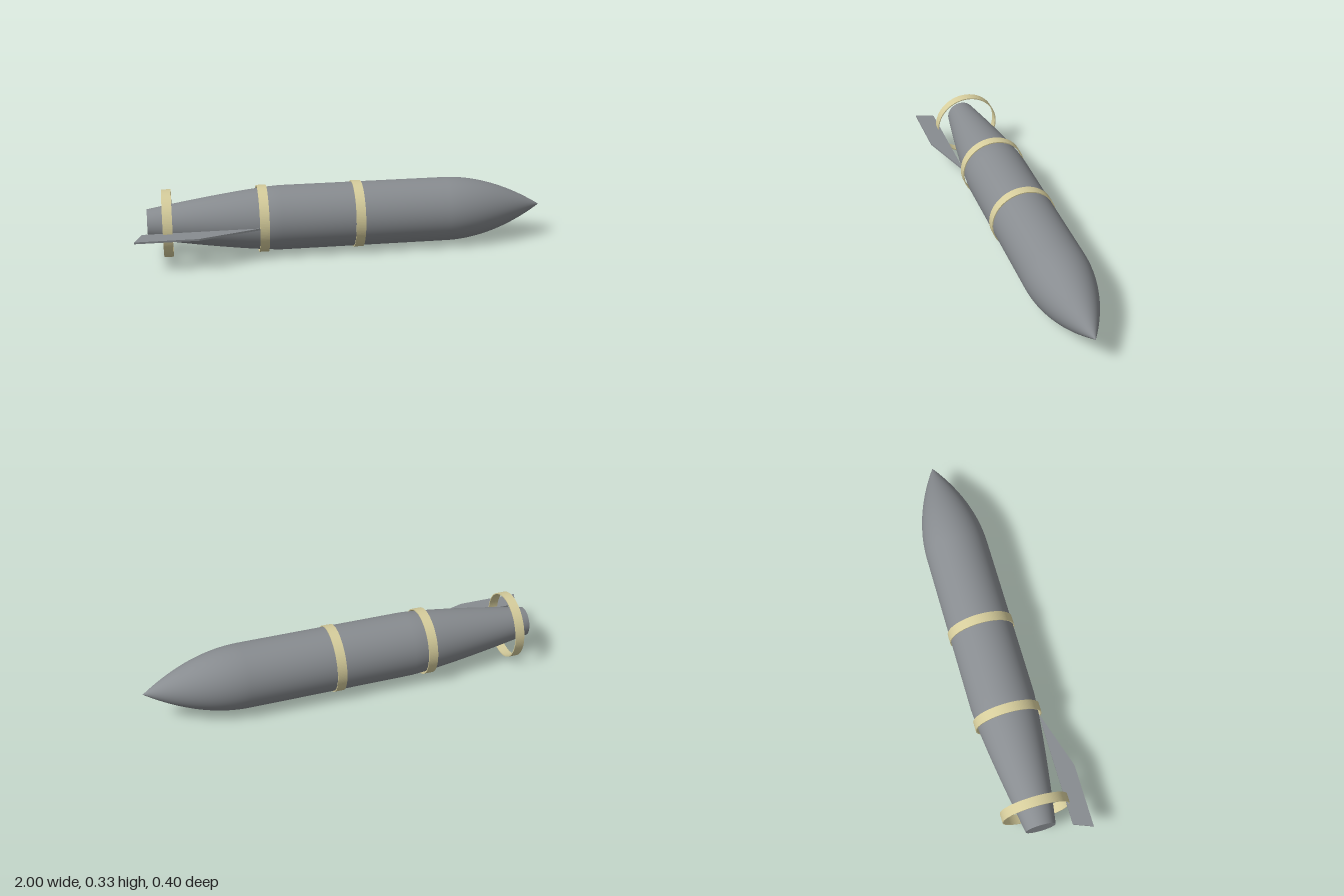
import * as THREE from 'three';

const AXIS_Y = 0.163, AXIS_Z = -0.038;

export function createModel() {
  const group = new THREE.Group();
  const grey = new THREE.MeshStandardMaterial({ color: 0x888c90 });
  grey.name = 'casing grey';
  const khaki = new THREE.MeshStandardMaterial({ color: 0xd6cd9c });
  khaki.name = 'band khaki';

  const add = (name, geometry, material, x, y, z) => {
    const mesh = new THREE.Mesh(geometry, material);
    mesh.name = name;
    mesh.position.set(x, y, z);
    group.add(mesh);
  };

  // Body: tapered tail, straight middle, ogive nose, turned about the long axis
  const R = 0.157, profile = [];
  for (let i = 0; i <= 12; i++) {
    const t = 1 - i / 12;
    profile.push(new THREE.Vector2(R - 0.085 * Math.pow(t, 1.3), -0.3 - 0.64 * t));
  }
  for (let i = 0; i <= 20; i++) {
    const t = i / 20;
    profile.push(new THREE.Vector2(i === 20 ? 0 : R * (1 - Math.pow(t, 1.95)), 0.52 + 0.48 * t));
  }
  add('body', new THREE.LatheGeometry(profile, 64).rotateZ(-Math.PI / 2), grey, 0, AXIS_Y, AXIS_Z);

  // Flat disc closing the tail
  add('tailCap', new THREE.CircleGeometry(0.072, 64).rotateY(-Math.PI / 2), grey, -0.94, AXIS_Y, AXIS_Z);

  // Three equal hoops; the rear one stands clear of the tapered tail
  const hoop = new THREE.Shape().absarc(0, 0, 0.163, 0, Math.PI * 2, false);
  hoop.holes.push(new THREE.Path().absarc(0, 0, 0.158, 0, Math.PI * 2, true));
  const width = 0.046;
  const hoopGeometry = new THREE.ExtrudeGeometry(hoop, { depth: width, bevelEnabled: false, curveSegments: 64 })
    .translate(0, 0, -width / 2).rotateY(Math.PI / 2);
  [['rearBand', -0.845], ['middleBand', -0.388], ['frontBand', 0.075]].forEach(([name, x]) =>
    add(name, hoopGeometry, khaki, x, AXIS_Y, AXIS_Z));

  // Swept side fin, drawn in x and z
  const fin = new THREE.Shape([[-1, 0.2], [-0.7, 0.2], [-0.41, 0.11], [-0.965, 0.11]]
    .map(([x, z]) => new THREE.Vector2(x, z)));
  const thickness = 0.009;
  add('fin', new THREE.ExtrudeGeometry(fin, { depth: thickness, bevelEnabled: false })
    .translate(0, 0, -thickness / 2).rotateX(Math.PI / 2), grey, 0, AXIS_Y, 0);

  return group;
}
